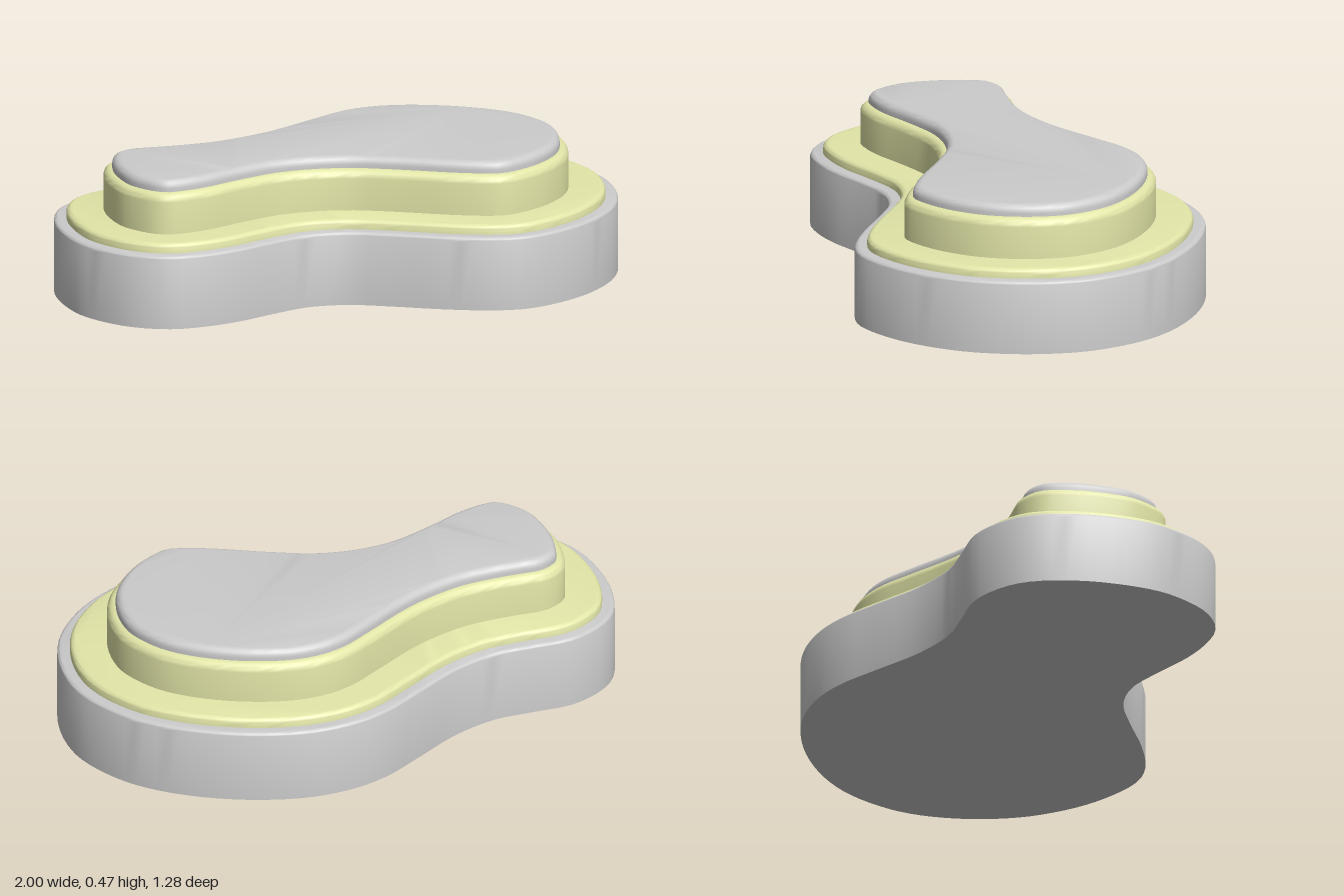
import * as THREE from 'three';
import { toCreasedNormals } from 'three/addons/utils/BufferGeometryUtils.js';

// Plan outline as [x, z], starting at the right-hand end and passing round the back
const OUTLINE = [
  [-1, 0], [-0.96, -0.24], [-0.85, -0.425], [-0.67, -0.5], [-0.5, -0.478], [-0.37, -0.46],
  [-0.2, -0.487], [0, -0.565], [0.15, -0.622], [0.29, -0.643], [0.46, -0.62], [0.65, -0.53],
  [0.82, -0.39], [0.93, -0.24], [0.985, -0.08], [0.995, 0.06], [0.95, 0.24], [0.85, 0.41],
  [0.7, 0.54], [0.55, 0.61], [0.42, 0.635], [0.31, 0.61], [0.17, 0.53], [0, 0.4],
  [-0.12, 0.32], [-0.25, 0.29], [-0.38, 0.312], [-0.55, 0.355], [-0.68, 0.365],
  [-0.8, 0.345], [-0.91, 0.26], [-0.98, 0.12],
];
const COUNT = 128;

// Evenly spaced points of a closed smooth curve
function resample(points) {
  const curve = new THREE.CatmullRomCurve3(points.map(p => new THREE.Vector3(p.x, p.y, 0)), true, 'centripetal');
  return curve.getSpacedPoints(COUNT).slice(0, COUNT).map(p => new THREE.Vector2(p.x, p.y));
}

// Move a counter-clockwise loop inwards along its normals
function inset(loop, d) {
  return loop.map((p, i) => {
    const t = loop[(i + 1) % loop.length].clone().sub(loop[(i + loop.length - 1) % loop.length]).normalize();
    return new THREE.Vector2(p.x - t.y * d, p.y + t.x * d);
  });
}

// Larger inset: drop points that fold over at tight bends, then smooth again
function insetClean(loop, d) {
  if (d === 0) return loop;
  const kept = inset(loop, d).filter(p => loop.every(q => p.distanceTo(q) > d * 0.985));
  return resample(kept.filter((p, i) => i % 2 === 0));
}

// Solid slab following the loop, with a rounded upper edge
function slab(name, loop, y0, y1, radius, color) {
  const sections = [[0, y0]];
  const steps = 5;
  for (let k = 0; k <= steps; k++) {
    const a = (k / steps) * Math.PI / 2;
    sections.push([radius * (1 - Math.cos(a)), y1 - radius * (1 - Math.sin(a))]);
  }
  const positions = [], index = [];
  for (const [d, y] of sections) for (const p of inset(loop, d)) positions.push(p.x, p.y, y);
  const n = loop.length;
  for (let k = 0; k < sections.length - 1; k++) {
    for (let i = 0; i < n; i++) {
      const a = k * n + i, b = k * n + (i + 1) % n;
      index.push(a, b, b + n, a, b + n, a + n);
    }
  }
  // Flat bottom and top
  const top = (sections.length - 1) * n;
  for (const [a, b, c] of THREE.ShapeUtils.triangulateShape(loop.slice(), [])) {
    index.push(a, c, b, top + a, top + b, top + c);
  }
  const geometry = new THREE.BufferGeometry();
  geometry.setAttribute('position', new THREE.Float32BufferAttribute(positions, 3));
  geometry.setIndex(index);
  geometry.rotateX(-Math.PI / 2);
  const mesh = new THREE.Mesh(toCreasedNormals(geometry, Math.PI / 5), new THREE.MeshStandardMaterial({ color }));
  mesh.name = name;
  return mesh;
}

export function createModel() {
  const group = new THREE.Group();
  group.name = 'steppedPlatform';
  const outer = resample(OUTLINE.map(([x, z]) => new THREE.Vector2(x, -z)).reverse());
  const grey = 0xcccccc, yellow = 0xe3e6a8;

  // name, inset, bottom, top, edge radius, colour
  const layers = [
    ['base', 0, 0, 0.257, 0.015, grey],
    ['lowerStep', 0.043, 0.25, 0.29, 0.02, yellow],
    ['upperStep', 0.17, 0.285, 0.432, 0.03, yellow],
    ['topPlate', 0.2, 0.425, 0.472, 0.028, grey],
  ];
  for (const [name, d, y0, y1, r, color] of layers) {
    group.add(slab(name, insetClean(outer, d), y0, y1, r, color));
  }
  return group;
}
